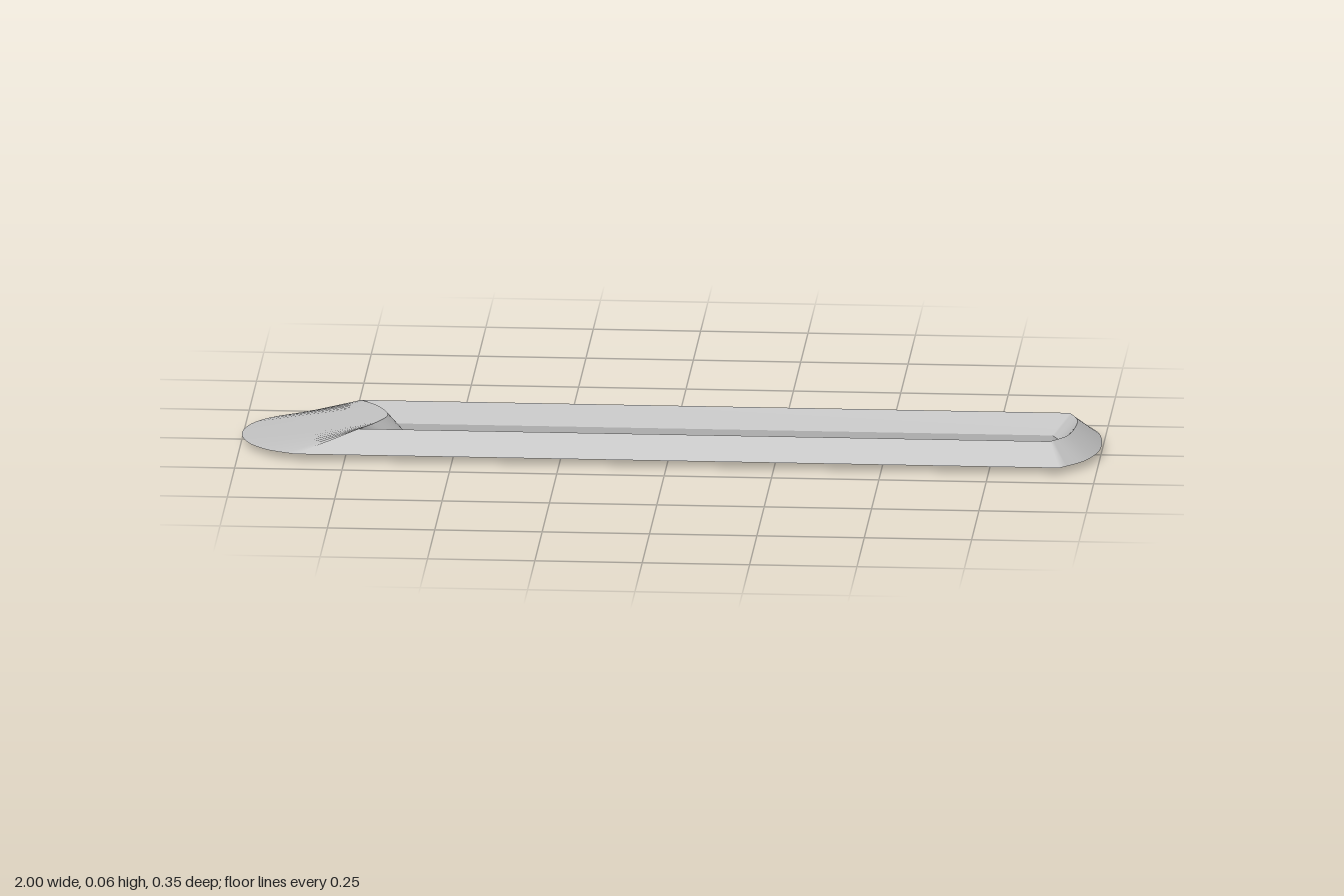
import * as THREE from 'three';

const EDGE_Y = 0.016, RIDGE_Y = 0.065, FLOOR_Y = 0.002;

// Samples a smooth curve through a few [x, z] points
function sampleEnd(points, count) {
  const curve = new THREE.CatmullRomCurve3(points.map(([x, z]) => new THREE.Vector3(x, 0, z)), false, 'centripetal');
  return curve.getPoints(count);
}

// Closed loop: the +x end from front to back, then the -x end from back to front
function makeLoop(blunt, tapered, y) {
  const loop = [...sampleEnd(blunt, 20), ...sampleEnd(tapered, 20)];
  loop.forEach((p) => { p.y = y; });
  return loop;
}

// Smooth band between two matching loops
function band(a, b) {
  const n = a.length, pos = [], index = [];
  for (let i = 0; i < n; i++) pos.push(...a[i].toArray(), ...b[i].toArray());
  for (let i = 0; i < n; i++) {
    const j = (i + 1) % n;
    index.push(2 * i, 2 * j, 2 * i + 1, 2 * j, 2 * j + 1, 2 * i + 1);
  }
  const geo = new THREE.BufferGeometry();
  geo.setAttribute('position', new THREE.Float32BufferAttribute(pos, 3));
  geo.setIndex(index);
  const flat = geo.toNonIndexed();
  flat.computeVertexNormals();
  geo.computeVertexNormals();
  return geo;
}

export function createModel() {
  const group = new THREE.Group();
  const grey = new THREE.MeshStandardMaterial({ color: 0xc0c0c0, side: THREE.DoubleSide });
  grey.name = 'plainGrey';
  const add = (name, geo) => {
    const mesh = new THREE.Mesh(geo, grey);
    mesh.name = name;
    group.add(mesh);
  };

  // Bottom edge of the outer slope
  const outer = makeLoop(
    [[0.915, 0.177], [0.965, 0.12], [0.99, 0.06], [1, 0], [0.995, -0.09], [0.98, -0.145], [0.94, -0.177]],
    [[-0.865, -0.177], [-0.93, -0.145], [-0.98, -0.085], [-1, 0], [-0.98, 0.085], [-0.93, 0.145], [-0.865, 0.177]], EDGE_Y);
  // Crest of the rim and of the ramp
  const ridge = makeLoop(
    [[0.89, 0.124], [0.925, 0.075], [0.94, 0], [0.94, -0.07], [0.92, -0.124]],
    [[-0.73, -0.124], [-0.69, -0.08], [-0.66, 0], [-0.685, 0.07], [-0.72, 0.124]], RIDGE_Y);
  // Foot of the inner slope
  const inner = makeLoop(
    [[0.88, 0.072], [0.897, 0.035], [0.903, -0.015], [0.897, -0.065], [0.88, -0.102]],
    [[-0.67, -0.102], [-0.64, -0.07], [-0.62, -0.015], [-0.635, 0.045], [-0.685, 0.072]], EDGE_Y);
  const base = inner.map((p) => p.clone().setY(0));

  add('outerSlope', band(outer, ridge));
  add('innerSlope', band(ridge, inner));
  add('recessWall', band(inner, base));

  // Floor of the long recess
  const shape = new THREE.Shape(base.map((p) => new THREE.Vector2(p.x, -p.z)));
  const floor = new THREE.ShapeGeometry(shape).rotateX(-Math.PI / 2);
  add('recessFloor', floor);

  return group;
}
